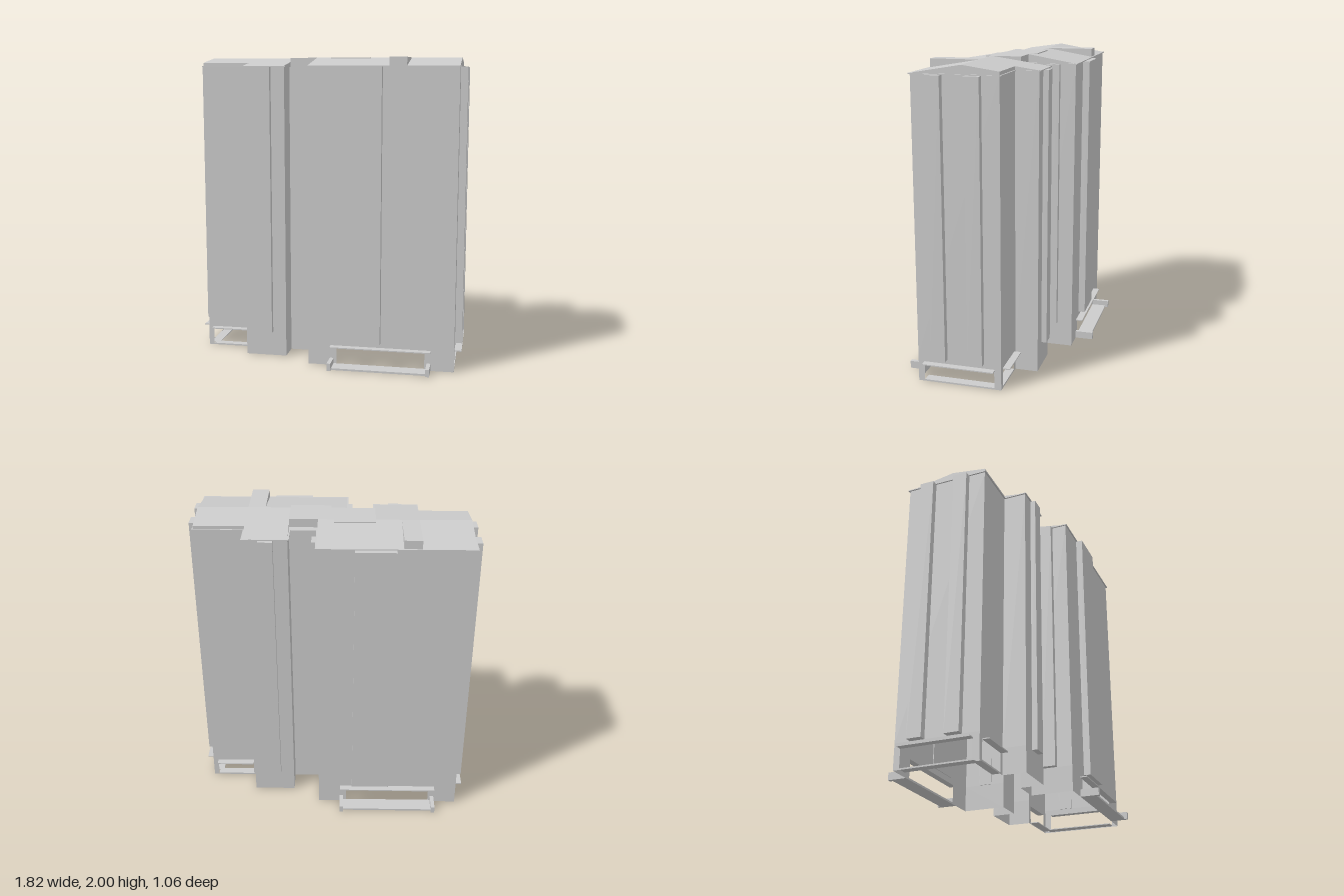
import * as THREE from 'three';

const material = new THREE.MeshStandardMaterial({ color: 0xcccccc, side: THREE.DoubleSide, flatShading: true });
const BASE = 0.165, EAVE = 1.94, ROOF = 1.946, TOP = 2;

// Outline of one half as [x, z]; the other half is the same turned by 180 degrees
const halfOutline = [
  [-0.27, 0.135], [-0.09, 0.135], [-0.09, 0.41], [0.865, 0.41],
  [0.865, -0.135], [0.545, -0.135], [0.545, -0.285], [0.27, -0.285],
];
const outline = [...halfOutline, ...halfOutline.map(([x, z]) => [-x, -z])];

function add(parent, name, geometry) {
  const mesh = new THREE.Mesh(geometry, material);
  mesh.name = name;
  parent.add(mesh);
  return mesh;
}

// Box given by its limits on each axis
function box(parent, name, x0, x1, y0, y1, z0, z1) {
  const g = new THREE.BoxGeometry(x1 - x0, y1 - y0, z1 - z0);
  g.translate((x0 + x1) / 2, (y0 + y1) / 2, (z0 + z1) / 2);
  return add(parent, name, g);
}

// Flat plan of [x, z] points raised from y0 to y1
function slab(parent, name, points, y0, y1) {
  const shape = new THREE.Shape(points.map(([x, z]) => new THREE.Vector2(x, -z)));
  const g = new THREE.ExtrudeGeometry(shape, { depth: y1 - y0, bevelEnabled: false });
  g.rotateX(-Math.PI / 2).translate(0, y0, 0);
  return add(parent, name, g);
}

// Profile of [z, y] points swept along x
function sweepX(parent, name, points, x0, x1) {
  const shape = new THREE.Shape(points.map(([z, y]) => new THREE.Vector2(-z, y)));
  const g = new THREE.ExtrudeGeometry(shape, { depth: x1 - x0, bevelEnabled: false });
  g.rotateY(Math.PI / 2).translate(x0, 0, 0);
  return add(parent, name, g);
}

// Thin upright panel between two plan points, with an optional opening [start, end]
function panel(parent, name, a, b, y0, y1, opening) {
  const dx = b[0] - a[0], dz = b[1] - a[1], length = Math.hypot(dx, dz);
  const rect = (s0, s1, h0, h1) => [[s0, h0], [s1, h0], [s1, h1], [s0, h1]].map((p) => new THREE.Vector2(...p));
  const shape = new THREE.Shape(rect(0, length, y0, y1));
  if (opening) shape.holes.push(new THREE.Path(rect(opening[0], opening[1], 0.01, 0.13).reverse()));
  const g = new THREE.ShapeGeometry(shape);
  g.rotateY(Math.atan2(-dz, dx)).translate(a[0], 0, a[1]);
  return add(parent, name, g);
}

function createWing() {
  const wing = new THREE.Group();
  wing.name = 'wing';

  // Hollow walls, with openings in the ground floor
  const openings = { 2: [0.19, 0.765], 3: [0.04, 0.5], 4: [0.035, 0.29] };
  halfOutline.forEach((a, i) => {
    const b = outline[i + 1];
    panel(wing, 'baseWall', a, b, 0, BASE, openings[i]);
    panel(wing, 'towerWall', a, b, BASE, EAVE);
  });

  // Full-height bays: x0, x1, z0, z1
  const bays = [
    [0.14, 0.39, 0.405, 0.455],
    [0.86, 0.91, 0.215, 0.31],
    [0.86, 0.91, -0.025, 0.07],
    [0.36, 0.45, -0.32, -0.28],
    [-0.125, -0.085, 0.22, 0.31],
  ];
  for (const [x0, x1, z0, z1] of bays) box(wing, 'bay', x0, x1, BASE, EAVE, z0, z1);

  // Canopies over the ground-floor openings
  const canopies = [
    [0.06, 0.715, 0.41, 0.455],
    [0.865, 0.91, -0.095, 0.37],
    [0.57, 0.83, -0.18, -0.135],
  ];
  for (const [x0, x1, z0, z1] of canopies) box(wing, 'canopy', x0, x1, 0.127, 0.134, z0, z1);

  // Ledges inside the side openings
  box(wing, 'ledge', 0.8, 0.864, 0.004, 0.01, -0.095, 0.37);
  box(wing, 'ledge', 0.57, 0.83, 0.004, 0.01, -0.134, -0.08);

  // Terrace with low end walls
  box(wing, 'terraceFloor', 0.08, 0.69, 0, 0.012, 0.41, 0.51);
  for (const x of [0.055, 0.69]) box(wing, 'terraceWall', x, x + 0.025, 0, 0.048, 0.41, 0.53);

  // Gable roof: the ridge lies at z = 0.095, the rear slope runs on over the projection
  const ridge = 0.095;
  const rearY = (z) => TOP - ((ridge - z) * (TOP - ROOF)) / (ridge + 0.285);
  const gable = (rear) => [[0.41, ROOF], [ridge, TOP], [rear, rearY(rear)], [rear, ROOF]];
  sweepX(wing, 'roof', [[0.41, ROOF], [ridge, TOP], [ridge, ROOF]], -0.09, 0.27);
  sweepX(wing, 'roof', gable(-0.284), 0.27, 0.545);
  sweepX(wing, 'roof', gable(-0.135), 0.545, 0.865);
  box(wing, 'dormer', 0.43, 0.54, ROOF, TOP, ridge, 0.41);
  return wing;
}

export function createModel() {
  const model = new THREE.Group();
  model.name = 'apartmentTower';

  const front = createWing();
  const back = createWing();
  back.rotation.y = Math.PI;
  model.add(front, back);

  // Eave slab, a little wider than the walls
  const n = outline.length;
  const normal = (i) => {
    const a = outline[(i + n) % n], b = outline[(i + 1) % n];
    return [-Math.sign(b[1] - a[1]), Math.sign(b[0] - a[0])];
  };
  const eave = outline.map(([x, z], i) => {
    const p = normal(i - 1), q = normal(i);
    return [x + 0.009 * (p[0] + q[0]), z + 0.009 * (p[1] + q[1])];
  });
  slab(model, 'eaveSlab', eave, EAVE, ROOF);

  // Flat roof over the linking core
  const core = [[-0.27, 0.095], [0.01, 0.095], [0.01, 0.135], [0.27, 0.135]];
  const corePlan = [...core, [0.27, -0.095], [-0.01, -0.095], [-0.01, -0.135], [-0.27, -0.135]];
  slab(model, 'coreRoof', corePlan, ROOF, TOP);
  return model;
}
